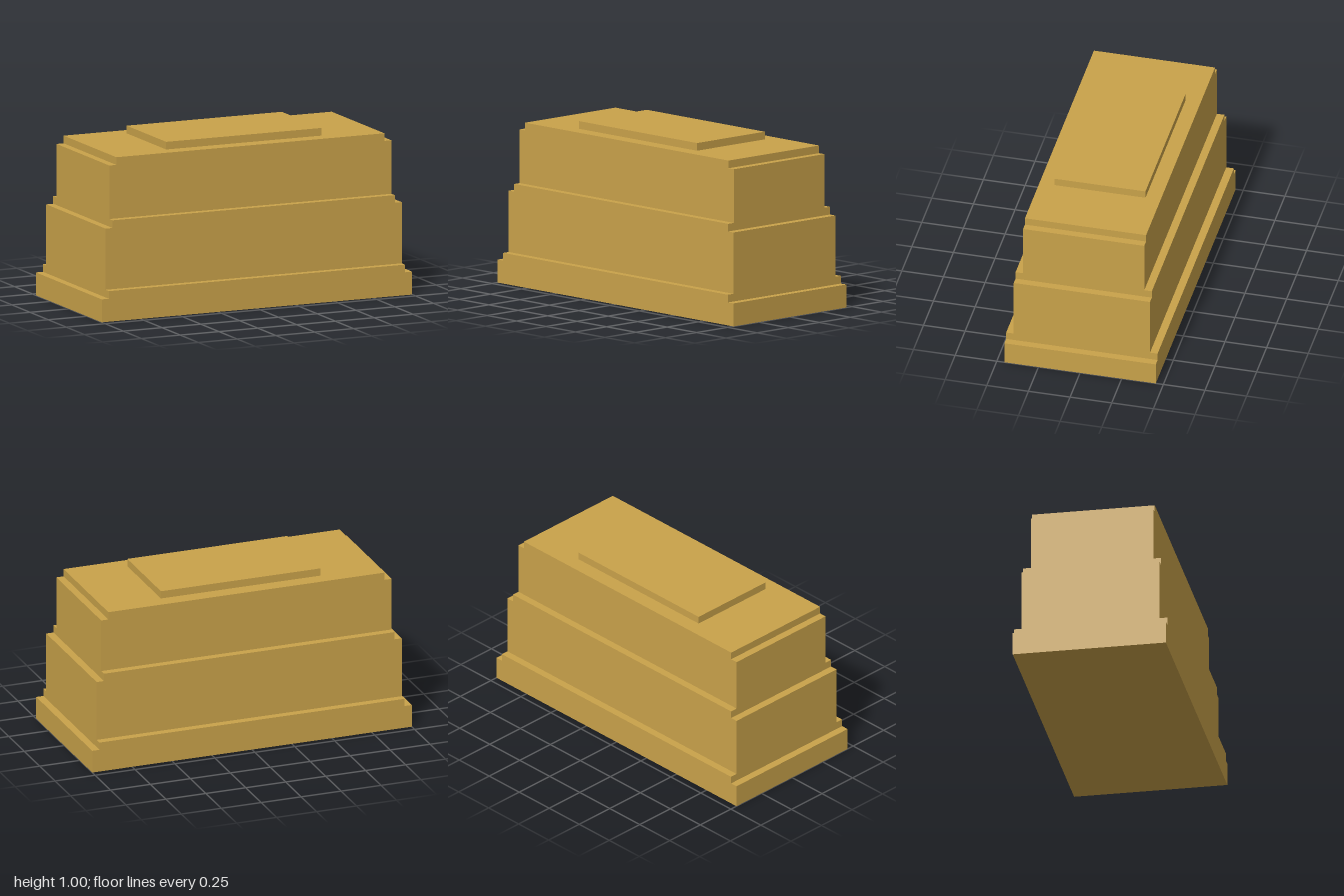
import * as THREE from 'three';

const U = 1 / 22; // modelling unit: the block is 22 units tall

// Stacked tiers, bottom to top: [name, half width, half depth, height] in units
const TIERS = [
  ['base', 22, 10, 3],
  ['baseLedge', 21, 10, 1],
  ['lowerBody', 21, 9, 8],
  ['lowerBodyLedge', 20, 9, 1],
  ['upperBody', 20, 8, 7],
  ['upperBodyLedge', 19, 8, 1],
  ['topPlate', 11, 6, 1],
];

export function createModel() {
  const model = new THREE.Group();
  model.name = 'steppedBlock';

  const gold = new THREE.MeshStandardMaterial({ color: 0xc9a24a });
  gold.name = 'gold';

  let y = 0;
  for (const [name, halfWidth, halfDepth, height] of TIERS) {
    const tier = new THREE.Mesh(
      new THREE.BoxGeometry(2 * halfWidth * U, height * U, 2 * halfDepth * U),
      gold
    );
    tier.name = name;
    tier.position.y = (y + height / 2) * U;
    model.add(tier);
    y += height;
  }
  return model;
}
